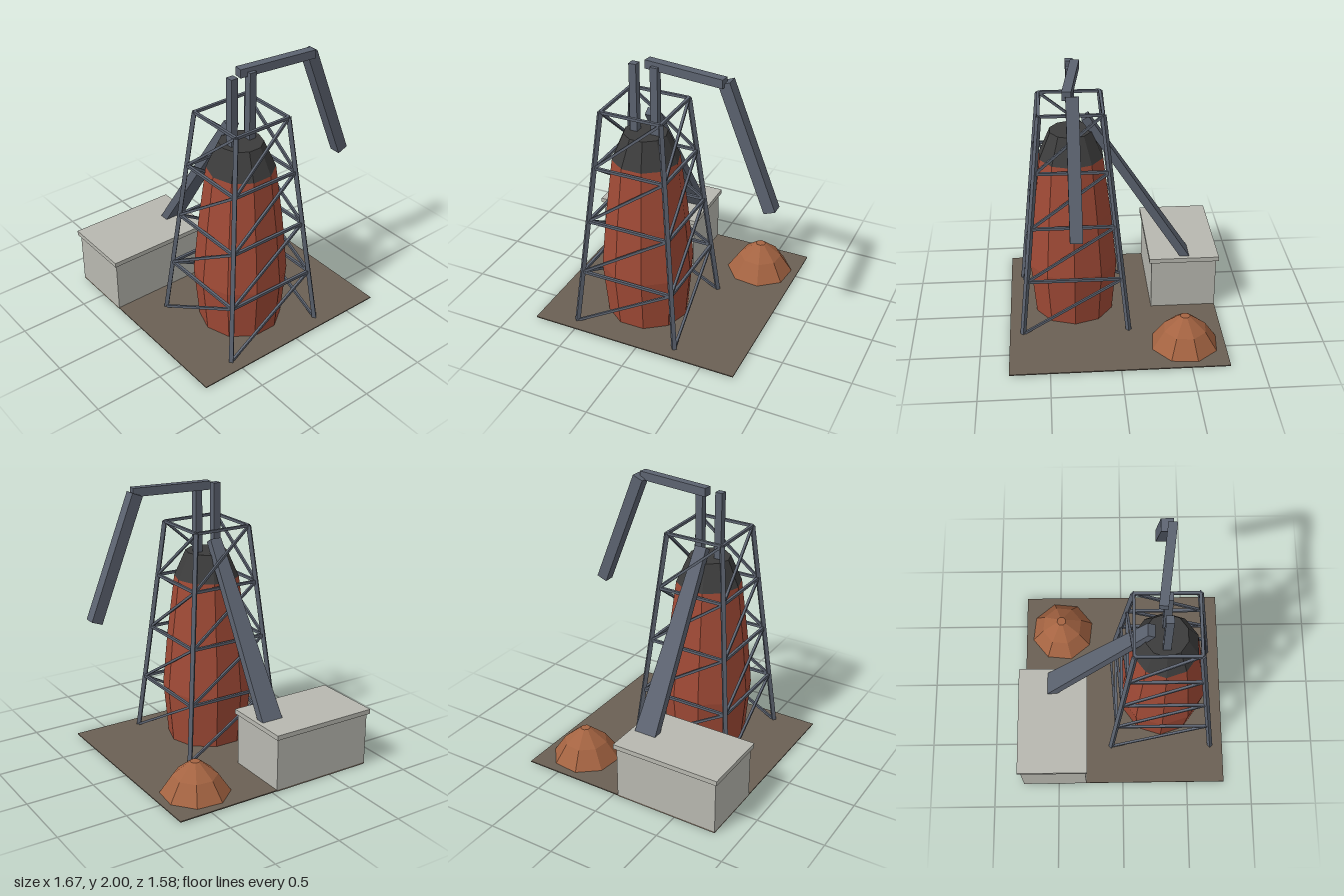
import * as THREE from 'three';

const mat = (name, color, flatShading = false) => {
  const m = new THREE.MeshStandardMaterial({ color, flatShading });
  m.name = name;
  return m;
};

export function createModel() {
  const brick = mat('red brick', 0xa04a36, true);
  const cap = mat('dark iron', 0x3c3c3c, true);
  const steel = mat('blue grey steel', 0x5c6370);
  const concrete = mat('pale concrete', 0xb8b8b0);
  const ore = mat('orange ore', 0xa56442, true);
  const earth = mat('brown earth', 0x6b6054);

  const model = new THREE.Group();
  model.name = 'blastFurnace';
  const CX = -0.135, CZ = 0.302, BASE = 0.012;
  const v = (x, y, z) => new THREE.Vector3(x, y, z);

  const add = (name, geometry, material, parent = model) => {
    const mesh = new THREE.Mesh(geometry, material);
    mesh.name = name;
    parent.add(mesh);
    return mesh;
  };
  // Box given by its limits on each axis
  const block = (name, [x0, x1], [y0, y1], [z0, z1], material) => {
    const mesh = add(name, new THREE.BoxGeometry(x1 - x0, y1 - y0, z1 - z0), material);
    mesh.position.set((x0 + x1) / 2, (y0 + y1) / 2, (z0 + z1) / 2);
    return mesh;
  };
  // Square bar between two points; endScale widens it towards b
  const beam = (name, a, b, w, h = w, parent = model, endScale = 1) => {
    const len = a.distanceTo(b);
    const geo = new THREE.BoxGeometry(w, h, len);
    const p = geo.attributes.position;
    for (let i = 0; i < p.count; i++) if (p.getZ(i) > 0) p.setX(i, p.getX(i) * endScale);
    geo.computeVertexNormals();
    const mesh = add(name, geo, steel, parent);
    mesh.position.copy(a).add(b).multiplyScalar(0.5);
    mesh.lookAt(b);
    return mesh;
  };
  // Faceted solid of revolution from [radius, height] pairs
  const turned = (name, profile, sides, phi, x, z, material) => {
    const pts = profile.map(([r, y]) => new THREE.Vector2(r, y));
    const mesh = add(name, new THREE.LatheGeometry(pts, sides, phi), material);
    mesh.position.set(x, 0, z);
    return mesh;
  };

  // Yard
  block('ground', [-0.82, 0.745], [0.004, BASE], [-0.775, 0.79], earth);

  // Furnace stack and its throat
  turned('furnaceBody', [[0, BASE], [0.3, BASE], [0.336, 0.42], [0.296, 0.84], [0.24, 1.28], [0, 1.28]],
    10, Math.PI / 2, CX, CZ, brick);
  turned('furnaceThroat', [[0.24, 1.28], [0.155, 1.475], [0, 1.475]], 10, Math.PI / 2, CX, CZ, cap);

  // Lattice tower: four legs, four rings, one diagonal per panel
  const tower = new THREE.Group();
  tower.name = 'latticeTower';
  model.add(tower);
  const levels = [0.008, 0.43, 0.845, 1.26, 1.675];
  const signs = [[-1, 1], [1, 1], [1, -1], [-1, -1]];
  const corner = (k, y) => {
    const half = 0.392 - 0.17 * y / 1.675;
    const [sx, sz] = signs[k % 4];
    return v(CX + sx * half, y, CZ + sz * half);
  };
  for (let k = 0; k < 4; k++) {
    beam('towerLeg', corner(k, levels[0]), corner(k, levels[4]), 0.03, 0.03, tower);
    for (let i = 1; i < 5; i++) {
      beam('towerRing', corner(k, levels[i]), corner(k + 1, levels[i]), 0.02, 0.02, tower);
      beam('towerBrace', corner(k, levels[i - 1]), corner(k + 1, levels[i]), 0.018, 0.018, tower);
    }
  }

  // Gas uptakes, cross duct and downcomer
  for (const s of [-1, 1]) {
    const x = CX + s * 0.078;
    block('gasUptake', [x - 0.027, x + 0.027], [1.44, 1.97], [CZ - 0.027, CZ + 0.027], steel);
  }
  beam('crossDuct', v(-0.133, 1.969, 0.263), v(0.453, 1.969, 0.338), 0.062);
  beam('downcomer', v(0.447, 1.963, CZ), v(0.793, 1.088, CZ), 0.085);

  // Skip bridge, wider at its foot
  beam('skipBridge', v(CX, 1.575, 0.198), v(CX, 0.38, -0.573), 0.09, 0.06, model, 1.9);

  // Stock house
  block('stockHouseWalls', [-0.82, -0.035], [0, 0.405], [-0.775, -0.285], concrete);
  block('stockHouseRoof', [-0.837, -0.018], [0.405, 0.44], [-0.793, -0.268], concrete);

  // Ore heap
  turned('oreHeap', [[0, BASE], [0.25, BASE], [0.16, 0.145], [0.036, 0.247], [0, 0.247]],
    8, 16.5 * Math.PI / 180, 0.45, -0.48, ore);

  return model;
}
